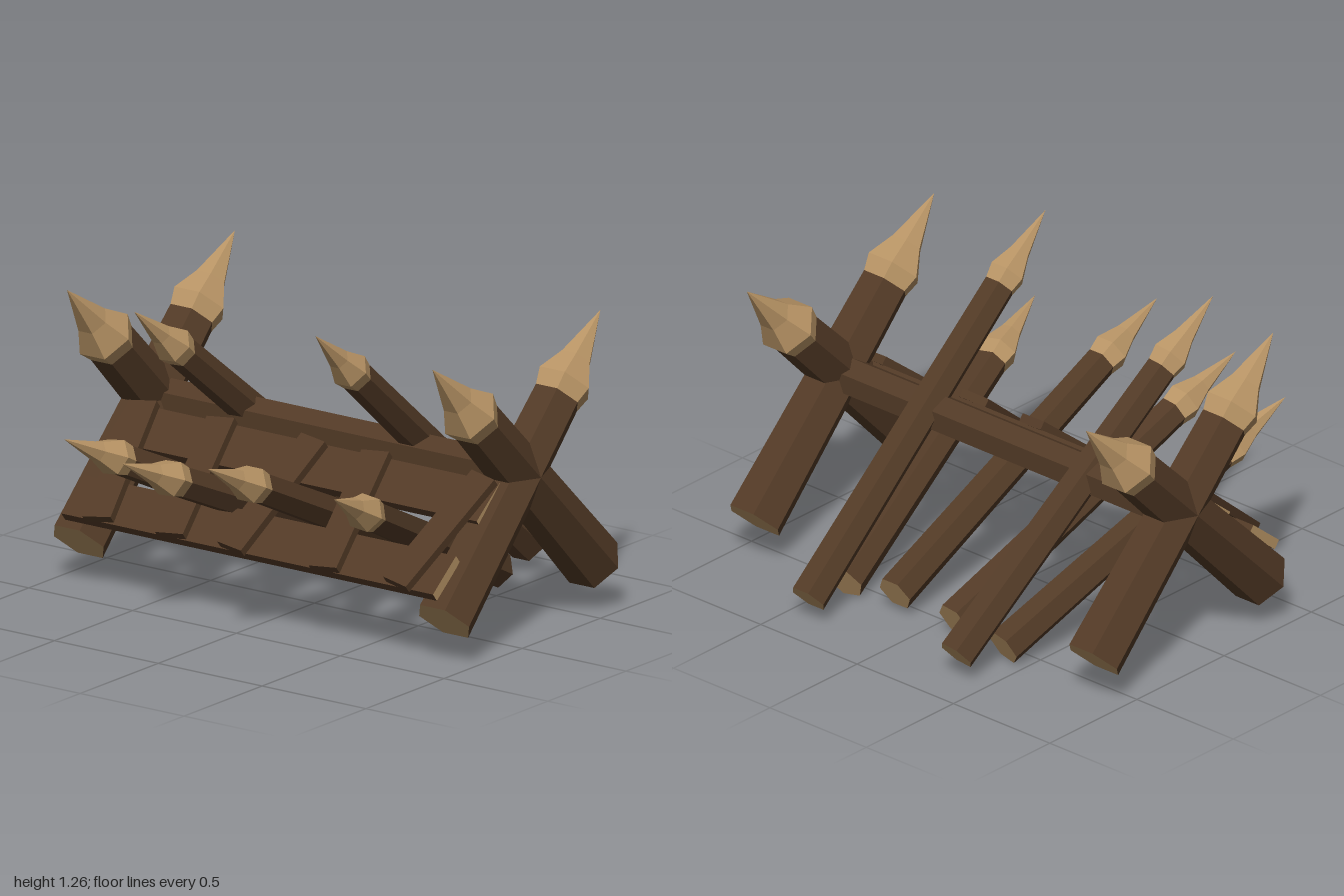
import * as THREE from 'three';

export function createModel() {
  const model = new THREE.Group();
  model.name = 'stakeBarricade';

  const bark = new THREE.MeshStandardMaterial({ color: 0x523a26 });
  bark.name = 'dark bark';
  const cutWood = new THREE.MeshStandardMaterial({ color: 0xb89465 });
  cutWood.name = 'cut wood';

  // Six-sided faceted solid of revolution from [radius, height] points
  const hexLathe = (profile, material, name) => {
    const points = profile.map(([r, y]) => new THREE.Vector2(r, y));
    const geometry = new THREE.LatheGeometry(points, 6, Math.PI / 2).toNonIndexed();
    geometry.computeVertexNormals();
    const mesh = new THREE.Mesh(geometry, material);
    mesh.name = name;
    return mesh;
  };

  // Sharpened log: tapered shaft, flared carved point and sawn base
  const UP = new THREE.Vector3(0, 1, 0);
  const addStake = (name, base, tip, r, point) => {
    const start = new THREE.Vector3(...base);
    const axis = new THREE.Vector3(...tip).sub(start);
    const length = axis.length();
    const neck = length - point;
    const stake = new THREE.Group();
    stake.name = name;
    stake.add(
      hexLathe([[r, 0], [r * 0.85, neck]], bark, name + 'Shaft'),
      hexLathe([
        [r * 0.85, neck],
        [r, length - point * 0.83],
        [r * 0.56, length - point * 0.56],
        [0, length],
      ], cutWood, name + 'Point'),
      hexLathe([[0, 0], [r, 0]], cutWood, name + 'SawnEnd'),
    );
    stake.position.copy(start);
    stake.quaternion.setFromUnitVectors(UP, axis.normalize());
    model.add(stake);
  };

  // Crossed thick logs at both ends
  for (const [side, x] of [['left', 0.88], ['right', -0.88]]) {
    addStake(side + 'ForwardLog', [x, 0.175, -0.615], [x, 1.2, 0.415], 0.12, 0.4);
    addStake(side + 'BackwardLog', [x, 0.17, 0.34], [x, 1.18, -0.66], 0.12, 0.4);
  }

  // High stakes resting on the ridge log
  addStake('leftHighStake', [0.38, 0.1, -0.86], [0.38, 1.265, 0.5], 0.078, 0.35);
  addStake('rightHighStake', [-0.37, 0.105, -0.84], [-0.5, 1.2, 0.49], 0.078, 0.35);

  // Low stakes fanning out to the front
  addStake('leftOuterLowStake', [0.41, 0.067, -0.615], [0.65, 0.715, 0.74], 0.078, 0.35);
  addStake('rightOuterLowStake', [-0.41, 0.067, -0.615], [-0.65, 0.72, 0.74], 0.078, 0.35);
  addStake('leftInnerLowStake', [0.175, 0.09, -0.59], [0.18, 0.795, 0.92], 0.078, 0.36);
  addStake('rightInnerLowStake', [-0.13, 0.078, -0.59], [-0.26, 0.728, 0.885], 0.078, 0.36);

  // Ridge log lying where the thick logs cross, one edge upward
  const ridge = hexLathe([[0, -0.84], [0.08, -0.84], [0.08, 0.84], [0, 0.84]], bark, 'ridgeLog');
  ridge.rotation.z = Math.PI / 2;
  ridge.position.set(0, 0.645, -0.145);
  model.add(ridge);

  // Sloping front panel: two long rails with crooked boards nailed on
  const panel = new THREE.Group();
  panel.name = 'frontPanel';
  panel.position.set(0, 0.46, 0.205);
  panel.rotation.x = -THREE.MathUtils.degToRad(51);
  const railMaterials = [cutWood, cutWood, bark, bark, bark, bark];
  for (const [name, y] of [['upperRail', 0.18], ['lowerRail', -0.18]]) {
    const rail = new THREE.Mesh(new THREE.BoxGeometry(1.79, 0.19, 0.04), railMaterials);
    rail.name = name;
    rail.position.y = y;
    panel.add(rail);
  }
  // [top x, bottom x] of each board
  const boards = [[-0.81, -0.71], [-0.435, -0.36], [0.01, -0.07], [0.31, 0.38], [0.83, 0.725]];
  boards.forEach(([top, bottom], i) => {
    const board = new THREE.Mesh(new THREE.BoxGeometry(0.125, 0.56, 0.035), bark);
    board.name = 'board' + (i + 1);
    board.position.set((top + bottom) / 2, 0, 0.036);
    board.rotation.z = Math.atan2(bottom - top, 0.55);
    panel.add(board);
  });
  model.add(panel);

  return model;
}
